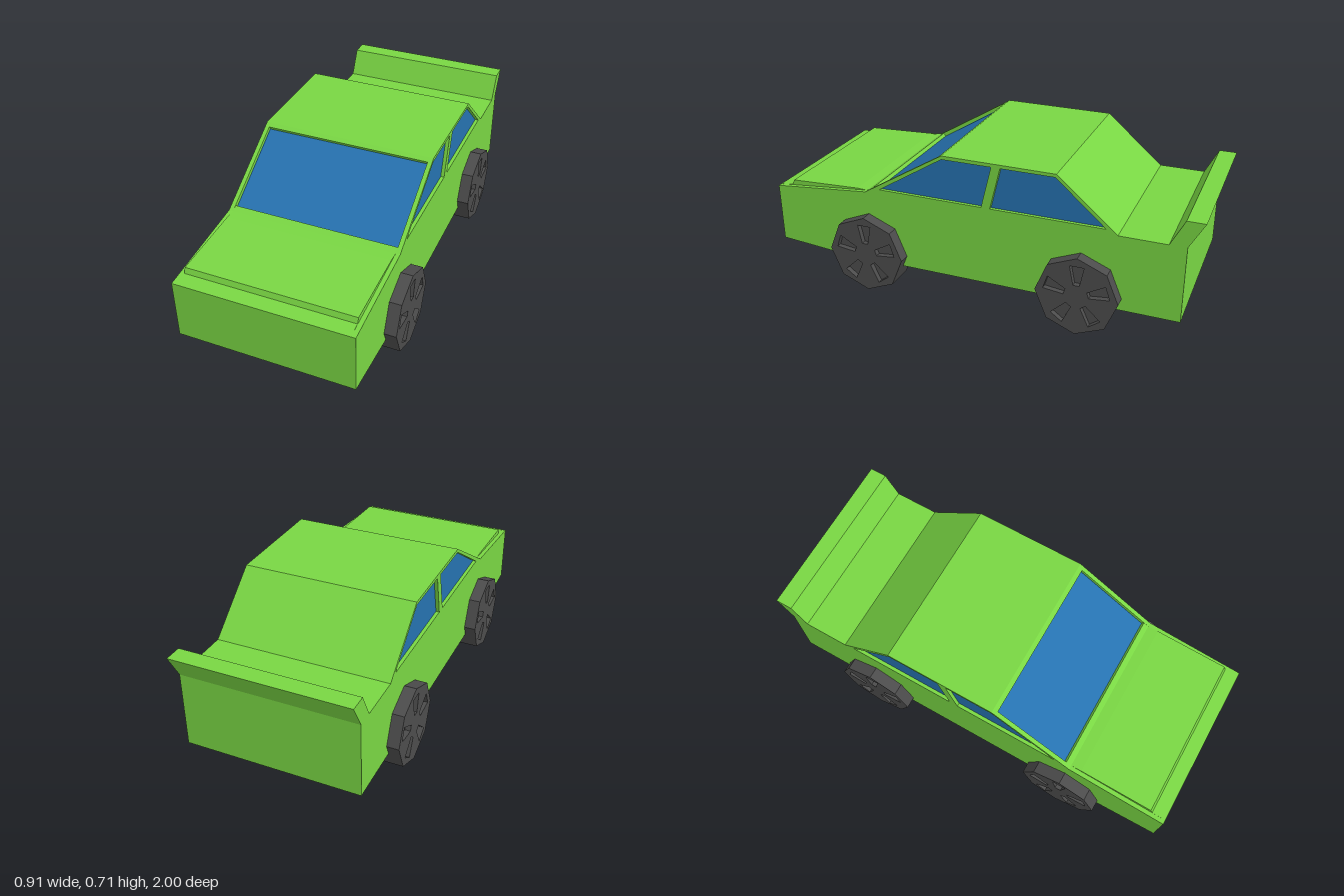
import * as THREE from 'three';

const paint = new THREE.MeshStandardMaterial({ color: 0x79d643, flatShading: true });
paint.name = 'green paint';
const glass = new THREE.MeshStandardMaterial({ color: 0x2672b0, flatShading: true });
glass.name = 'blue glass';
const rubber = new THREE.MeshStandardMaterial({ color: 0x4c4c4c, flatShading: true });
rubber.name = 'dark wheel';

const HALF = 0.4, SKIN = 0.02, R = 0.185;
const AXLES = [-0.497, 0.517];
const vecs = pts => pts.map(p => new THREE.Vector2(p[0], p[1]));

// Extrudes a (z, y) side outline across x, from x0 to x1
function slab(name, pts, x0, x1, material, holes = []) {
  const shape = new THREE.Shape(vecs(pts));
  holes.forEach(h => shape.holes.push(new THREE.Path(vecs(h))));
  const g = new THREE.ExtrudeGeometry(shape, { depth: x1 - x0, bevelEnabled: false });
  g.rotateY(-Math.PI / 2).translate(x1, 0, 0);
  const mesh = new THREE.Mesh(g, material);
  mesh.name = name;
  return mesh;
}

// Octagonal wheel arch cut into the underside, listed back to front
function arch(z) {
  return [[-0.157, 0.13], [-0.18, R], [-0.127, 0.312], [0, 0.365],
    [0.127, 0.312], [0.18, R], [0.157, 0.13]].map(([dz, y]) => [z + dz, y]);
}

// Side outline; the hood and windscreen stretches differ between core and skin
function outline(hood, screen) {
  return [
    [-0.935, 0.13], ...arch(AXLES[0]), ...arch(AXLES[1]), [0.69, 0.13], [1, 0.155], [1, 0.432],
    ...hood, [0.53, 0.477], ...screen, [0.14, 0.712], [-0.38, 0.71],
    [-0.65, 0.48], [-0.86, 0.48], [-0.92, 0.597], [-1, 0.597], [-0.935, 0.48],
  ];
}

function makeWheel() {
  const wheel = new THREE.Group();
  // Eight-sided drum
  const drum = new THREE.Mesh(new THREE.CylinderGeometry(R, R, 0.115, 8), rubber);
  drum.name = 'tyre';
  drum.rotation.z = Math.PI / 2;
  drum.position.x = -0.0125;
  wheel.add(drum);
  // Outer face with five pockets between the spokes
  const rim = [], pockets = [];
  for (let i = 0; i < 8; i++) {
    const a = i * Math.PI / 4;
    rim.push([R * Math.cos(a), R * Math.sin(a)]);
  }
  for (let i = 0; i < 5; i++) {
    const a = Math.PI / 2 + i * Math.PI * 2 / 5, c = Math.cos(a), s = Math.sin(a);
    pockets.push([[0.055, 0.014], [0.145, 0.032], [0.145, -0.032], [0.055, -0.014]]
      .map(([r, w]) => [r * c - w * s, r * s + w * c]));
  }
  wheel.add(slab('spokedFace', rim, 0.045, 0.07, rubber, pockets));
  return wheel;
}

export function createModel() {
  const car = new THREE.Group();
  car.name = 'car';

  // Central body: raised hood panel and recessed windscreen opening
  const inner = HALF - SKIN;
  const hood = [[0.935, 0.44], [0.925, 0.464], [0.58, 0.479]];
  const recess = [[0.505, 0.49], [0.493, 0.47], [0.148, 0.68], [0.16, 0.7]];
  car.add(slab('bodyCore', outline(hood, recess), -inner, inner, paint));

  // Windscreen in its recess
  car.add(slab('windscreen',
    [[0.493, 0.47], [0.4956, 0.4743], [0.1506, 0.6843], [0.148, 0.68]], -inner, inner, glass));

  // Side skins with window openings, and the glass set behind them
  const windows = [
    ['frontSideWindow', [[0.455, 0.5], [0.14, 0.695], [-0.09, 0.695], [-0.042, 0.5]]],
    ['rearSideWindow', [[-0.083, 0.5], [-0.131, 0.695], [-0.375, 0.695], [-0.6, 0.5]]],
  ];
  for (const side of [1, -1]) {
    const span = (a, b) => side > 0 ? [a, b] : [-b, -a];
    const label = side > 0 ? 'left' : 'right';
    car.add(slab(label + 'BodySide', outline([], []), ...span(inner, HALF), paint, windows.map(w => w[1])));
    for (const [name, pts] of windows) {
      car.add(slab(label + '_' + name, pts, ...span(inner, inner + 0.004), glass));
    }
    // Wheels
    AXLES.forEach((z, i) => {
      const wheel = makeWheel();
      wheel.name = label + (i ? 'FrontWheel' : 'RearWheel');
      wheel.position.set(side * 0.385, R, z);
      if (side < 0) wheel.rotation.y = Math.PI;
      car.add(wheel);
    });
  }
  return car;
}
